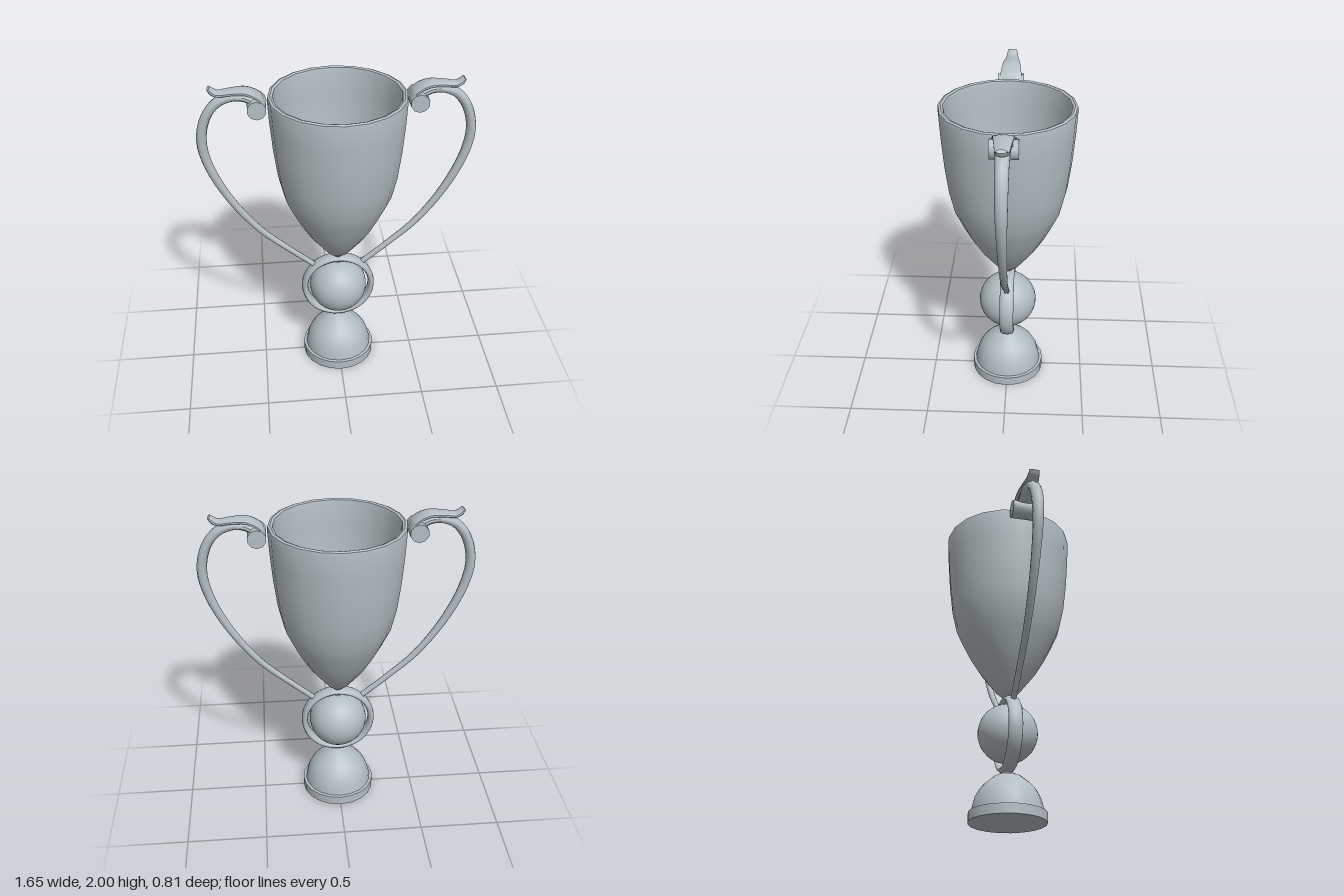
import * as THREE from 'three';
import { toCreasedNormals } from 'three/addons/utils/BufferGeometryUtils.js';

const silver = new THREE.MeshStandardMaterial({ color: 0xb3bec3 });
silver.name = 'silver';

function part(name, geometry, parent) {
  const mesh = new THREE.Mesh(geometry, silver);
  mesh.name = name;
  parent.add(mesh);
  return mesh;
}

// Turned solid from [radius, height] pairs, listed from the bottom outside upwards
function turned(profile, sides = 20) {
  const points = profile.map(([r, y]) => new THREE.Vector2(r, y));
  return toCreasedNormals(new THREE.LatheGeometry(points, sides), 0.6);
}

// Elliptical sweep along stations [x, y, half thickness, half width in z]
function sweep(stations, steps, sides) {
  const path = new THREE.CatmullRomCurve3(stations.map(s => new THREE.Vector3(s[0], s[1], 0)));
  const size = new THREE.CatmullRomCurve3(stations.map(s => new THREE.Vector3(s[2], s[3], 0)));
  const positions = [], index = [];
  for (let i = 0; i <= steps; i++) {
    const p = path.getPoint(i / steps), t = path.getTangent(i / steps), r = size.getPoint(i / steps);
    for (let j = 0; j < sides; j++) {
      const a = (j / sides) * Math.PI * 2, n = Math.cos(a) * r.x;
      positions.push(p.x - t.y * n, p.y + t.x * n, Math.sin(a) * r.y);
    }
  }
  for (let i = 0; i < steps; i++) {
    for (let j = 0; j < sides; j++) {
      const a = i * sides + j, b = i * sides + (j + 1) % sides;
      index.push(a, b, b + sides, a, b + sides, a + sides);
    }
  }
  // End caps
  const last = steps * sides;
  for (let j = 1; j < sides - 1; j++) {
    index.push(0, j + 1, j, last, last + j, last + j + 1);
  }
  const geometry = new THREE.BufferGeometry();
  geometry.setAttribute('position', new THREE.Float32BufferAttribute(positions, 3));
  geometry.setIndex(index);
  return toCreasedNormals(geometry, 0.9);
}

// Handle with its scroll and leaf, on the +x side
function makeHandle() {
  const handle = new THREE.Group();
  part('handleArm', sweep([
    [0.16, 0.725, 0.017, 0.018], [0.33, 0.87, 0.018, 0.019], [0.49, 1.02, 0.02, 0.021],
    [0.655, 1.25, 0.024, 0.025], [0.765, 1.49, 0.028, 0.03], [0.793, 1.66, 0.03, 0.035],
    [0.757, 1.81, 0.029, 0.038], [0.685, 1.9, 0.028, 0.04], [0.59, 1.935, 0.027, 0.045],
    [0.51, 1.92, 0.027, 0.05], [0.465, 1.87, 0.027, 0.055],
  ], 40, 10), handle);
  part('handleLeaf', sweep([
    [0.418, 1.87, 0.008, 0.072], [0.437, 1.915, 0.012, 0.07], [0.477, 1.945, 0.015, 0.065],
    [0.53, 1.963, 0.018, 0.058], [0.61, 1.96, 0.017, 0.048], [0.68, 1.953, 0.017, 0.04],
    [0.708, 1.966, 0.018, 0.036], [0.728, 1.988, 0.011, 0.03],
  ], 24, 10), handle);
  const scroll = part('handleScroll', toCreasedNormals(new THREE.CylinderGeometry(0.056, 0.056, 0.16, 10), 0.8), handle);
  scroll.rotation.x = Math.PI / 2;
  scroll.position.set(0.465, 1.872, 0);
  return handle;
}

export function createModel() {
  const model = new THREE.Group();
  model.name = 'trophyCup';

  // Foot and dome
  part('basePlate', turned([[0, 0], [0.235, 0], [0.235, 0.06], [0.215, 0.062]]), model);
  part('baseDome', turned([
    [0.217, 0.06], [0.21, 0.1], [0.196, 0.15], [0.172, 0.195], [0.142, 0.23],
    [0.085, 0.278], [0.04, 0.3], [0, 0.312],
  ]), model);

  // Ball held on a pin inside an upright ring
  part('ball', new THREE.SphereGeometry(0.184, 32, 20), model).position.y = 0.553;
  part('ballPin', new THREE.CylinderGeometry(0.02, 0.02, 0.44, 10), model).position.y = 0.55;
  const ring = part('ring', new THREE.TorusGeometry(0.218, 0.02, 12, 40), model);
  ring.position.y = 0.55;
  ring.scale.z = 2.2;

  // Hollow cup: outer wall, rounded lip, inner wall, flat floor
  part('cup', turned([
    [0, 0.78], [0.025, 0.785], [0.07, 0.825], [0.125, 0.895], [0.178, 0.965], [0.235, 1.06],
    [0.285, 1.16], [0.33, 1.26], [0.362, 1.4], [0.384, 1.58], [0.398, 1.76], [0.405, 1.9],
    [0.402, 1.918], [0.388, 1.924], [0.374, 1.918], [0.37, 1.9], [0.364, 1.76], [0.35, 1.58],
    [0.328, 1.4], [0.297, 1.26], [0.25, 1.15], [0.2, 1.06], [0.137, 0.97], [0, 0.97],
  ]), model);

  // Handles
  ['leftHandle', 'rightHandle'].forEach((name, i) => {
    const handle = makeHandle();
    handle.name = name;
    handle.rotation.y = i * Math.PI;
    model.add(handle);
  });

  return model;
}
